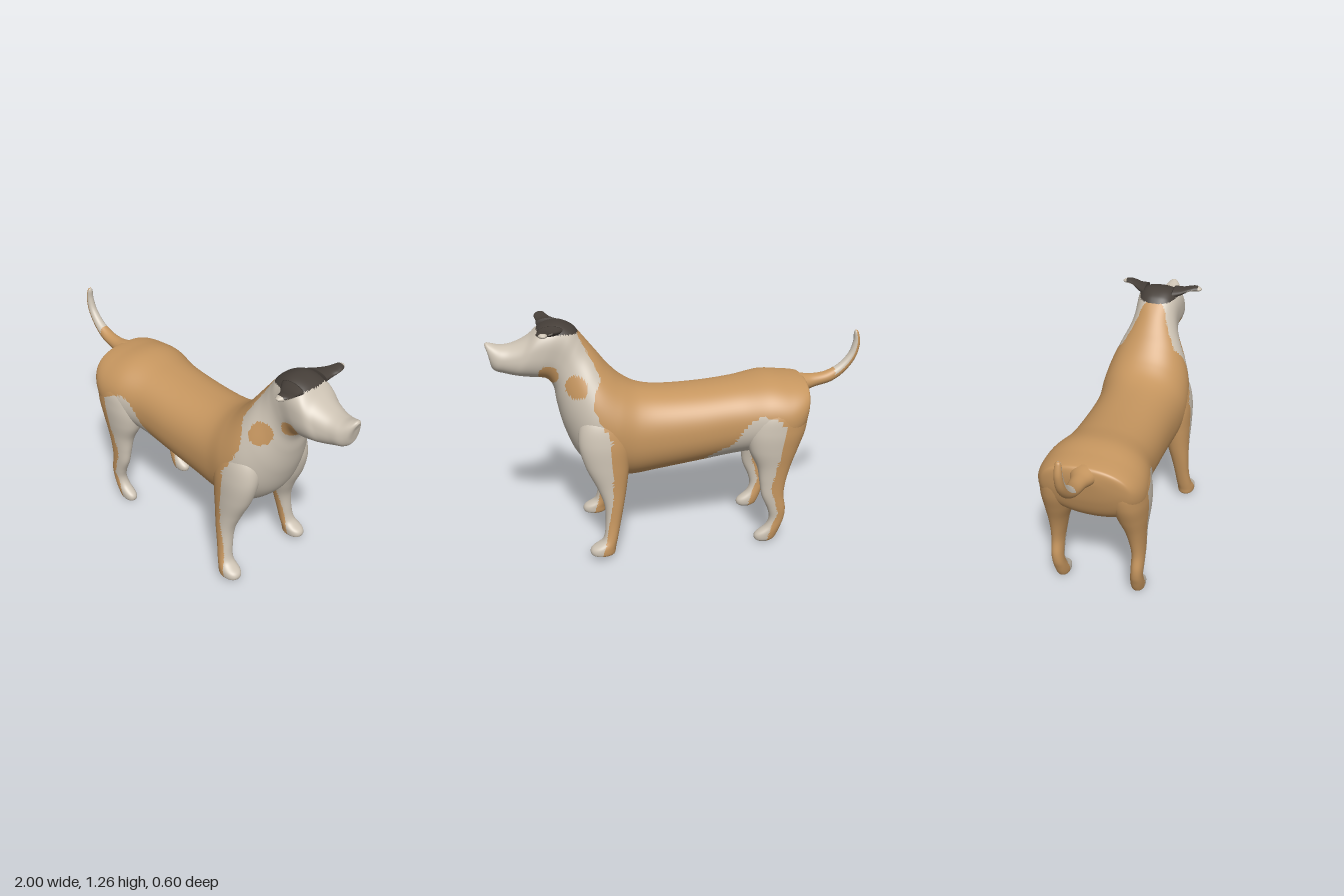
import * as THREE from 'three';

const mats = [
  ['tanCoat', 0xc6965f], ['creamCoat', 0xcdc3b4], ['darkCap', 0x463f39],
].map(([name, color]) => Object.assign(new THREE.MeshStandardMaterial({ color }), { name }));
const TAN = 0, CREAM = 1, DARK = 2;

// piecewise-linear lookup in [[key, value], ...]
function lookup(table, k) {
  if (k <= table[0][0]) return table[0][1];
  for (let i = 1; i < table.length; i++) {
    const [a, va] = table[i - 1], [b, vb] = table[i];
    if (k <= b) return va + (vb - va) * (k - a) / (b - a);
  }
  return table[table.length - 1][1];
}

// smooth in-between rows
function refine(rows, sub) {
  const out = [], n = rows.length - 1;
  for (let i = 0; i < n; i++) for (let k = 0; k < sub; k++) {
    const t = k / sub, t2 = t * t, t3 = t2 * t;
    out.push(rows[i].map((p1, c) => {
      const p0 = rows[Math.max(i - 1, 0)][c], p2 = rows[i + 1][c], p3 = rows[Math.min(i + 2, n)][c];
      return 0.5 * (2 * p1 + (p2 - p0) * t + (2 * p0 - 5 * p1 + 4 * p2 - p3) * t2 + (3 * p1 - p0 - 3 * p2 + p3) * t3);
    }));
  }
  out.push(rows[n]);
  return out;
}

// closed skin over rounded rings {c, u, v, e}, coloured face by face by paint(x, y, z, s)
function loft(name, rows, toRing, paint, seg = 40, sub = 8) {
  const rings = refine(rows, sub).map(toRing), pos = [], side = [];
  const bend = (a, e) => Math.sign(a) * Math.abs(a) ** e;
  for (const { c, u, v, e } of rings) for (let j = 0; j < seg; j++) {
    const a = j / seg * Math.PI * 2, cu = bend(Math.cos(a), e), sv = bend(Math.sin(a), e);
    for (let k = 0; k < 3; k++) pos.push(c[k] + u[k] * cu + v[k] * sv);
    side.push(sv);
  }
  const last = rings.length - 1, capA = rings.length * seg, capB = capA + 1;
  pos.push(...rings[0].c, ...rings[last].c);
  side.push(0, 0);
  const lists = mats.map(() => []);
  const face = (...ids) => {
    const mean = k => ids.reduce((t, i) => t + pos[i * 3 + k], 0) / 3;
    const s = ids.reduce((t, i) => t + side[i], 0) / 3;
    lists[paint(mean(0), mean(1), mean(2), s)].push(...ids);
  };
  for (let j = 0; j < seg; j++) {
    const k = (j + 1) % seg;
    face(capA, k, j);
    face(capB, last * seg + j, last * seg + k);
    for (let i = 0; i < last; i++) {
      const a = i * seg + j, b = i * seg + k;
      face(a, b, b + seg);
      face(a, b + seg, a + seg);
    }
  }
  const geo = new THREE.BufferGeometry();
  geo.setAttribute('position', new THREE.Float32BufferAttribute(pos, 3));
  geo.setIndex(lists.flat());
  let start = 0;
  lists.forEach((l, m) => { if (l.length) geo.addGroup(start, l.length, m); start += l.length; });
  geo.computeVertexNormals();
  const mesh = new THREE.Mesh(geo, mats);
  mesh.name = name;
  return mesh;
}

// ring builders: upright section [topX, topY, bottomX, bottomY, halfWidth, squareness]
const spineRing = ([tx, ty, bx, by, w, e]) => ({
  c: [(tx + bx) / 2, (ty + by) / 2, 0], u: [0, 0, -w], v: [(tx - bx) / 2, (ty - by) / 2, 0], e,
});
// level section [y, backX, frontX, innerZ, outerZ]
const legRing = s => ([y, x0, x1, z0, z1]) => ({
  c: [(x0 + x1) / 2, y, s * (z0 + z1) / 2], u: [0, 0, (z1 - z0) / 2], v: [(x1 - x0) / 2, 0, 0], e: 0.92,
});
// sideways section [z, backX, frontX, lowY, highY]
const earRing = s => ([z, x0, x1, y0, y1]) => ({
  c: [(x0 + x1) / 2, (y0 + y1) / 2, s * z], u: [s * (x1 - x0) / 2, 0, 0], v: [0, (y1 - y0) / 2, 0], e: 1,
});

// coat edges, as x for each height
const chestEdge = [[0.03, 0.465], [0.1, 0.44], [0.18, 0.425], [0.34, 0.395], [0.55, 0.39], [0.685, 0.395],
  [0.765, 0.44], [0.845, 0.475], [0.915, 0.465], [0.98, 0.43], [1.06, 0.465], [1.165, 0.52], [1.2, 0.535]];
const thighBack = [[0.02, -0.45], [0.1, -0.475], [0.175, -0.505], [0.335, -0.46], [0.52, -0.5], [0.7, -0.52], [0.735, -0.48], [0.755, -0.4]];
const thighFront = [[0.49, -0.15], [0.51, -0.11], [0.55, -0.18], [0.605, -0.26], [0.685, -0.31], [0.73, -0.35], [0.755, -0.4]];
const inOval = (x, y, cx, cy, rx, ry) => ((x - cx) / rx) ** 2 + ((y - cy) / ry) ** 2 < 1;

function coat(x, y, z) {
  if (x > 0.525 && x < 0.74 && y > 1.2 + 0.1 * (x - 0.53)) return DARK;
  if (inOval(x, y, 0.555, 0.945, 0.055, 0.06) && Math.abs(z) > 0.04) return TAN;
  if (inOval(x, y, 0.69, 1.0, 0.05, 0.056)) return TAN;
  if (x > lookup(chestEdge, y)) return CREAM;
  const thigh = y < 0.755 && x > lookup(thighBack, y) && x < lookup(thighFront, y);
  if (thigh && (x < -0.36 || y > 0.485) && (y < 0.45 || Math.abs(z) > 0.1)) return CREAM;
  return TAN;
}

const bodyRows = [
  [-0.69, 0.86, -0.69, 0.80, 0.06, 0.9], [-0.68, 0.885, -0.665, 0.68, 0.19, 0.88],
  [-0.655, 0.895, -0.62, 0.58, 0.245, 0.9], [-0.58, 0.905, -0.53, 0.51, 0.275, 0.92],
  [-0.46, 0.915, -0.42, 0.50, 0.268, 0.92], [-0.3, 0.89, -0.27, 0.48, 0.235, 0.9],
  [-0.1, 0.872, -0.08, 0.45, 0.23, 0.9], [0.1, 0.87, 0.12, 0.42, 0.23, 0.9],
  [0.22, 0.89, 0.3, 0.397, 0.238, 0.92], [0.31, 0.94, 0.44, 0.425, 0.25, 0.95],
  [0.38, 1.01, 0.555, 0.53, 0.235, 1], [0.43, 1.075, 0.62, 0.68, 0.195, 1],
  [0.48, 1.14, 0.652, 0.82, 0.148, 0.95], [0.52, 1.19, 0.665, 0.91, 0.126, 0.85],
  [0.56, 1.233, 0.70, 0.962, 0.122, 0.78], [0.63, 1.258, 0.77, 0.975, 0.128, 0.75],
  [0.71, 1.24, 0.83, 0.983, 0.122, 0.78], [0.78, 1.185, 0.875, 0.99, 0.102, 0.85],
  [0.86, 1.15, 0.915, 1.0, 0.084, 0.9], [0.92, 1.143, 0.95, 1.01, 0.072, 0.92],
  [0.965, 1.154, 0.97, 1.028, 0.052, 0.95], [0.99, 1.16, 0.977, 1.06, 0.034, 1],
  [1.0, 1.15, 0.985, 1.11, 0.016, 1],
];
const tailRows = [
  [-0.968, 1.122, -0.976, 1.124, 0.006, 1], [-0.963, 1.105, -0.988, 1.112, 0.015, 1],
  [-0.962, 1.06, -1.0, 1.05, 0.02, 1], [-0.94, 0.995, -0.98, 0.97, 0.024, 1],
  [-0.885, 0.935, -0.925, 0.895, 0.029, 1], [-0.81, 0.897, -0.85, 0.842, 0.036, 1],
  [-0.73, 0.888, -0.75, 0.815, 0.044, 1], [-0.66, 0.895, -0.67, 0.79, 0.07, 1], [-0.6, 0.895, -0.6, 0.78, 0.08, 1],
];
const frontLegRows = [
  [0.02, 0.42, 0.495, 0.22, 0.28], [0.032, 0.395, 0.522, 0.204, 0.296], [0.065, 0.388, 0.518, 0.2, 0.297],
  [0.11, 0.377, 0.455, 0.2, 0.284], [0.2, 0.357, 0.438, 0.188, 0.272], [0.3, 0.336, 0.44, 0.168, 0.268],
  [0.4, 0.317, 0.475, 0.14, 0.266], [0.52, 0.3, 0.53, 0.12, 0.268], [0.65, 0.29, 0.56, 0.1, 0.264],
  [0.77, 0.32, 0.54, 0.08, 0.235], [0.86, 0.38, 0.47, 0.08, 0.16],
];
const hindLegRows = [
  [0, -0.47, -0.405, 0.19, 0.235], [0.015, -0.497, -0.386, 0.178, 0.246], [0.045, -0.515, -0.39, 0.175, 0.25],
  [0.09, -0.532, -0.445, 0.18, 0.25], [0.14, -0.548, -0.465, 0.185, 0.25], [0.2, -0.552, -0.452, 0.187, 0.254],
  [0.28, -0.54, -0.418, 0.185, 0.256], [0.36, -0.55, -0.405, 0.172, 0.258], [0.45, -0.575, -0.39, 0.15, 0.264],
  [0.55, -0.615, -0.345, 0.11, 0.276], [0.66, -0.655, -0.33, 0.08, 0.281], [0.77, -0.665, -0.36, 0.06, 0.262],
  [0.86, -0.62, -0.42, 0.06, 0.17],
];
const earRows = [
  [0.08, 0.6, 0.735, 1.195, 1.25], [0.125, 0.635, 0.735, 1.21, 1.245], [0.16, 0.665, 0.742, 1.224, 1.248],
  [0.19, 0.68, 0.74, 1.227, 1.254], [0.215, 0.688, 0.728, 1.228, 1.252], [0.23, 0.698, 0.714, 1.235, 1.243],
];

export function createModel() {
  const dog = new THREE.Group();
  dog.name = 'dog';
  dog.add(loft('bodyNeckAndHead', bodyRows, spineRing, coat, 80, 9));
  dog.add(loft('tail', tailRows, spineRing, (x, y, z, s) => (x < -0.86 && s > 0 ? CREAM : TAN), 32));
  for (const s of [1, -1]) {
    const label = s > 0 ? 'Right' : 'Left';
    dog.add(loft('frontLeg' + label, frontLegRows, legRing(s), coat));
    dog.add(loft('hindLeg' + label, hindLegRows, legRing(s), coat));
    // ears: dark above, pale below and at the tip
    dog.add(loft('ear' + label, earRows, earRing(s),
      (x, y, z, v) => (Math.abs(z) > 0.15 && (v < 0 || Math.abs(z) > 0.21) ? CREAM : DARK), 28));
  }
  return dog;
}
